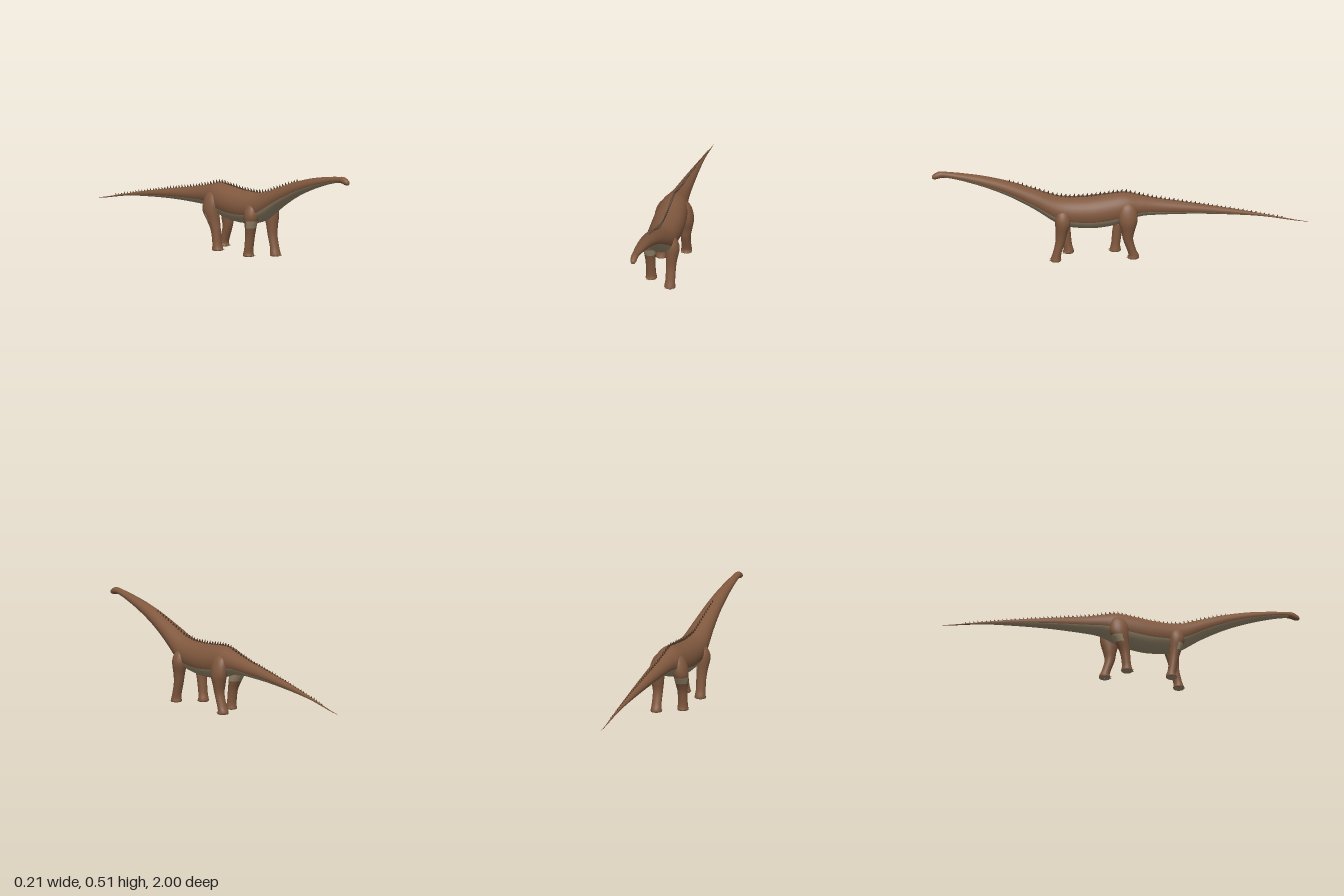
import * as THREE from 'three';

const mat = (name, color) => {
  const m = new THREE.MeshStandardMaterial({ color });
  m.name = name;
  return m;
};

// Catmull-Rom refinement of a table of rows, column by column
function refine(rows, steps) {
  const out = [];
  const at = (i) => rows[Math.min(Math.max(i, 0), rows.length - 1)];
  for (let i = 0; i < rows.length - 1; i++) {
    const [p, q, r, s] = [at(i - 1), at(i), at(i + 1), at(i + 2)];
    for (let k = 0; k < steps; k++) {
      const t = k / steps;
      out.push(q.map((b, c) => b + 0.5 * t * (r[c] - p[c] + t * (2 * p[c] - 5 * b + 4 * r[c] - s[c]
        + t * (3 * (b - r[c]) + s[c] - p[c])))));
    }
  }
  out.push(at(rows.length - 1));
  return out;
}

// Skin over closed rings; isPale(ring, angle) picks the second material
function loft(rings, seg, point, isPale) {
  const pos = [], faces = [[], []];
  rings.forEach((r) => {
    for (let j = 0; j < seg; j++) pos.push(...point(r, (j / seg) * Math.PI * 2));
  });
  for (let i = 0; i < rings.length - 1; i++) {
    for (let j = 0; j < seg; j++) {
      const k = (j + 1) % seg;
      const a = i * seg + j, b = i * seg + k, c = b + seg, d = a + seg;
      faces[isPale(rings[i], ((j + 0.5) / seg) * Math.PI * 2) ? 1 : 0].push(a, b, c, a, c, d);
    }
  }
  const g = new THREE.BufferGeometry();
  g.setAttribute('position', new THREE.Float32BufferAttribute(pos, 3));
  g.setIndex([...faces[0], ...faces[1]]);
  g.addGroup(0, faces[0].length, 0);
  g.addGroup(faces[0].length, faces[1].length, 1);
  g.computeVertexNormals();
  return g;
}

export function createModel() {
  const model = new THREE.Group();
  model.name = 'longNeckedDinosaur';
  const hide = mat('brown hide', 0x80583e);
  const belly = mat('pale belly', 0x9a8a6e);
  const horn = mat('dark horn', 0x4a3424);
  const add = (name, geo, material, parent = model) => {
    const m = new THREE.Mesh(geo, material);
    m.name = name;
    parent.add(m);
    return m;
  };

  // Tail, trunk, neck and head: z, top, bottom, half width
  const bodyRings = refine([
    [-1, 0.147, 0.146, 0.0005],
    [-0.94, 0.158, 0.153, 0.002],
    [-0.77, 0.198, 0.185, 0.008],
    [-0.61, 0.234, 0.203, 0.017],
    [-0.4, 0.275, 0.218, 0.031],
    [-0.2, 0.312, 0.222, 0.046],
    [-0.1, 0.336, 0.217, 0.06],
    [-0.02, 0.354, 0.188, 0.076],
    [0.085, 0.346, 0.167, 0.085],
    [0.19, 0.338, 0.165, 0.085],
    [0.32, 0.345, 0.19, 0.077],
    [0.46, 0.394, 0.283, 0.059],
    [0.59, 0.44, 0.358, 0.045],
    [0.72, 0.475, 0.415, 0.034],
    [0.84, 0.497, 0.456, 0.025],
    [0.92, 0.508, 0.476, 0.019],
    [0.955, 0.512, 0.476, 0.018],
    [0.975, 0.507, 0.471, 0.017],
    [0.992, 0.497, 0.471, 0.013],
    [0.999, 0.49, 0.475, 0.009],
    [1, 0.483, 0.482, 0.0005],
  ], 6);
  add('body', loft(bodyRings, 32,
    ([z, top, bottom, w], a) => [w * Math.cos(a), (top + bottom) / 2 + ((top - bottom) / 2) * Math.sin(a), z],
    ([z], a) => z < 0.93 && z > -0.85 && Math.sin(a) < -0.38), [hide, belly]);

  // Row of small horn spikes down the spine
  const spikes = new THREE.Group();
  spikes.name = 'spineSpikes';
  model.add(spikes);
  const spikeGeo = new THREE.ConeGeometry(0.4, 1, 6);
  for (let z = -0.86; z < 0.59; z += 0.023) {
    const i = bodyRings.findIndex((r) => r[0] > z);
    const [p, q] = [bodyRings[i - 1], bodyRings[i]];
    const top = p[1] + ((q[1] - p[1]) * (z - p[0])) / (q[0] - p[0]);
    const h = 0.025 - 0.012 * Math.min(1, Math.max(0, (-z - 0.02) / 0.6)) - 0.008 * Math.max(0, (z - 0.3) / 0.3);
    const s = add('spike', spikeGeo, horn, spikes);
    s.scale.set(h * 0.7, h, h);
    s.position.set(0, top + h * 0.3, z);
    s.rotation.x = -0.3;
  }

  // Legs, foot to shoulder or hip: y, centre x, centre z, half width, half depth
  const foreLeg = (side, foot, knee, top) => [
    [0.002, 0.059, foot, 0.001, 0.001],
    [0.002, 0.059, foot, 0.024, 0.023],
    [0.008, 0.059, foot, 0.03, 0.029],
    [0.022, 0.059, foot - 0.001, 0.028, 0.026],
    [0.05, 0.06, (foot * 2 + knee) / 3, 0.026, 0.023],
    [0.11, 0.06, knee, 0.027, 0.025],
    [0.16, 0.062, (knee + top) / 2, 0.031, 0.031],
    [0.21, 0.066, top, 0.037, 0.04],
    [0.245, 0.066, top, 0.033, 0.038],
    [0.275, 0.063, top, 0.02, 0.026],
    [0.288, 0.06, top, 0.001, 0.001],
  ].map(([y, x, ...rest]) => [y, x * side, ...rest]);
  const hindLeg = (side, foot, knee, top) => [
    [0.002, 0.059, foot, 0.001, 0.001],
    [0.002, 0.059, foot, 0.025, 0.025],
    [0.008, 0.059, foot, 0.03, 0.031],
    [0.022, 0.059, foot - 0.001, 0.028, 0.027],
    [0.05, 0.06, (foot * 2 + knee) / 3, 0.026, 0.024],
    [0.11, 0.061, knee, 0.027, 0.027],
    [0.16, 0.063, (knee + top) / 2, 0.034, 0.036],
    [0.21, 0.066, top, 0.039, 0.05],
    [0.26, 0.062, top, 0.035, 0.05],
    [0.3, 0.051, top, 0.026, 0.036],
    [0.325, 0.04, top, 0.001, 0.001],
  ].map(([y, x, ...rest]) => [y, x * side, ...rest]);

  const clawGeo = new THREE.ConeGeometry(0.006, 0.018, 6).rotateX(Math.PI / 2);
  const legs = [
    ['leftForeLeg', foreLeg(1, 0.348, 0.325, 0.312), 1, 0],
    ['rightForeLeg', foreLeg(-1, 0.268, 0.28, 0.295), -1, 1],
    ['leftHindLeg', hindLeg(1, -0.064, -0.036, -0.035), 1, 0],
    ['rightHindLeg', hindLeg(-1, 0.02, 0.008, -0.025), -1, -1],
  ];
  for (const [name, rows, side, paleDir] of legs) {
    const leg = new THREE.Group();
    leg.name = name;
    model.add(leg);
    // Pale soles, and a pale patch above the knee on the right legs
    const pale = ([y], a) => y < 0.004
      || (paleDir !== 0 && y > 0.148 && y < 0.186 && (Math.cos(a) * paleDir > 0 || Math.sin(a) > 0.4));
    add('limb', loft(refine(rows, 4), 24,
      ([y, x, z, w, d], a) => [x + w * Math.sin(a), Math.max(y, 0.001), z + d * Math.cos(a)], pale), [hide, belly], leg);
    // Three short claws on each foot
    const [, x, z, w, d] = rows[2];
    for (const t of [-0.65, 0, 0.65]) {
      const claw = add('claw', clawGeo, belly, leg);
      claw.position.set(x + w * Math.sin(t), 0.007, z + d * Math.cos(t));
      claw.rotation.y = t;
    }
  }
  return model;
}
